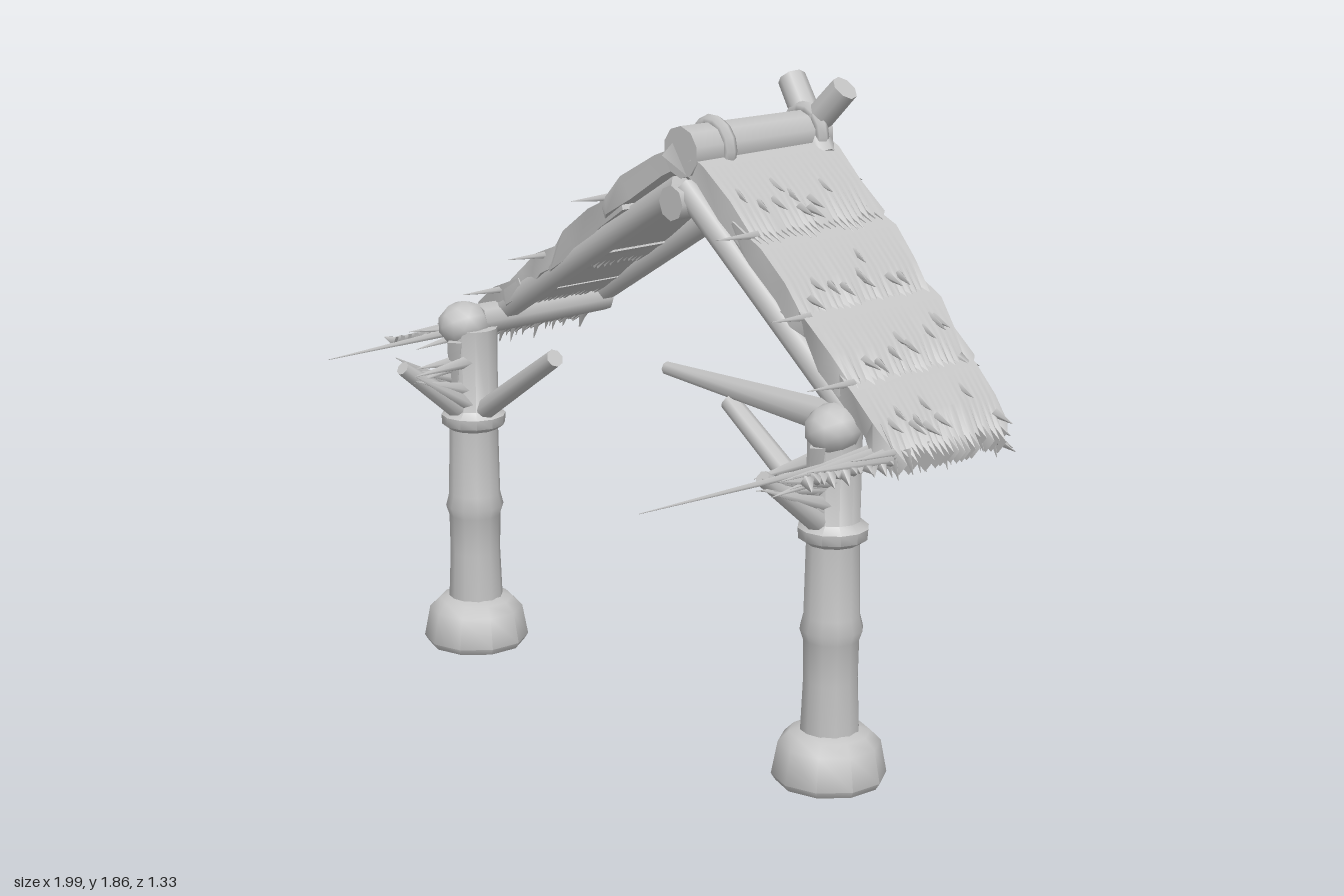
import * as THREE from 'three';
import { mergeGeometries, toCreasedNormals } from 'three/addons/utils/BufferGeometryUtils.js';

const wood = new THREE.MeshStandardMaterial({ color: 0xc4c4c4, side: THREE.DoubleSide });
wood.name = 'pale grey';

let seed = 7;
const rnd = (a = 0, b = 1) => {
  seed = (seed * 16807) % 2147483647;
  return a + (b - a) * seed / 2147483647;
};
const V = (p) => new THREE.Vector3(...p);

// Tapered pole between two points
function poleGeo(a, b, r0, r1, sides = 10) {
  const A = V(a), B = V(b), d = B.clone().sub(A);
  const g = new THREE.CylinderGeometry(r1, r0, d.length(), sides, 1);
  g.applyQuaternion(new THREE.Quaternion().setFromUnitVectors(V([0, 1, 0]), d.normalize()));
  g.translate(...A.add(B).multiplyScalar(0.5).toArray());
  return g;
}

function add(parent, name, geo) {
  const m = new THREE.Mesh(geo, wood);
  m.name = name;
  parent.add(m);
  return m;
}

// One thatch course: a bowed slab with a ragged lower edge and ragged gable edges
function courseGeo(x0, y0, x1, y1) {
  const n = 44, ts = [0, 0.35, 0.7, 1], loop = 8, pos = [], idx = [];
  const dir = new THREE.Vector2(x1 - x0, y1 - y0);
  const len = dir.length();
  dir.normalize();
  const nx = Math.abs(dir.y) * Math.sign(x1 - x0), ny = Math.abs(dir.x);
  for (let i = 0; i <= n; i++) {
    const jag = i % 2 ? rnd(0.015, 0.055) : rnd(-0.02, 0);
    for (let k = 0; k < loop; k++) {
      const top = k < 4, t = top ? ts[k] : ts[7 - k];
      const along = t * len + (t === 1 ? jag : 0);
      const bow = 0.025 * Math.sin(Math.PI * t) + (top ? 0 : -0.055 - 0.025 * t * (t < 1));
      const x = x0 + dir.x * along + nx * bow;
      const y = y0 + dir.y * along + ny * bow;
      const back = -0.635 + 0.06 * (x - 0.05) ** 2;
      const front = -0.13 - 0.02 * Math.abs(x);
      let z = front + (back - front) * i / n;
      if (i === 0 || i === n) z += rnd(-0.012, 0.022) * (i ? -1 : 1);
      pos.push(x, y, z);
    }
  }
  for (let i = 0; i < n; i++) for (let k = 0; k < loop; k++) {
    const a = i * loop + k, b = i * loop + (k + 1) % loop, c = a + loop, d = b + loop;
    idx.push(a, c, b, b, c, d);
  }
  for (let k = 0; k < 3; k++) {
    const q = [k, k + 1, 6 - k, 7 - k], e = n * loop;
    idx.push(q[0], q[1], q[2], q[0], q[2], q[3]);
    idx.push(e + q[0], e + q[2], e + q[1], e + q[0], e + q[3], e + q[2]);
  }
  if (x1 < x0) idx.reverse();
  const g = new THREE.BufferGeometry();
  g.setAttribute('position', new THREE.Float32BufferAttribute(pos, 3));
  g.setIndex(idx);
  idx.length && g.computeVertexNormals();
  return toCreasedNormals(g, 0.9);
}

// Post with a chunky foot, a tied collar and a slightly uneven shaft
function buildPost(root, name, x, z, side) {
  const post = new THREE.Group();
  post.name = name;
  root.add(post);
  const foot = new THREE.LatheGeometry([[0, 0], [0.15, 0], [0.163, 0.02], [0.145, 0.115], [0.115, 0.145], [0.08, 0.155]]
    .map(p => new THREE.Vector2(...p)), 10);
  foot.translate(x, 0, z);
  add(post, 'foot', toCreasedNormals(foot, 0.8));
  const shaft = new THREE.LatheGeometry([[0.085, 0.13], [0.078, 0.3], [0.08, 0.42], [0.09, 0.45], [0.08, 0.49], [0.076, 0.7],
    [0.098, 0.715], [0.1, 0.745], [0.076, 0.765], [0.078, 1.02], [0, 1.03]].map(p => new THREE.Vector2(...p)), 12);
  shaft.translate(x, 0, z);
  add(post, 'shaft', toCreasedNormals(shaft, 0.9));
  // Lashed joint at the head
  const knot = new THREE.IcosahedronGeometry(0.085, 1);
  knot.scale(0.9, 0.85, 1);
  knot.translate(x + 0.015 * side, 1.03, z + 0.02);
  add(post, 'headJoint', knot);
  add(post, 'sideBrace', poleGeo([x, 0.73, z], [x - side * 0.43, 1.01, z + 0.01], 0.035, 0.028, 8));
  add(post, 'frontBrace', poleGeo([x, 0.73, z], [x + 0.01, 0.935, z + 0.27], 0.042, 0.022, 8));
  // Loose splinters around the front brace
  const bits = [];
  for (let i = 0; i < 7; i++) {
    const dx = rnd(-0.07, 0.06);
    bits.push(poleGeo([x + dx * 0.8, rnd(0.78, 0.94), z + 0.04],
      [x + dx, rnd(0.88, 0.97), z + rnd(0.2, 0.34)], 0.022, 0.001, 4));
  }
  bits.push(poleGeo([x + 0.02, 0.99, z + 0.08], [x + 0.02, 0.79, z + 0.085], 0.03, 0.002, 4));
  add(post, 'splinters', mergeGeometries(bits));
  // Eave pole running back under the thatch
  add(post, 'eavePole', poleGeo([x, 1.04, z - 0.02], [x, 1.04, -0.57], 0.05, 0.045, 8));
}

export function createModel() {
  const root = new THREE.Group();
  root.name = 'thatchedShelter';

  buildPost(root, 'leftPost', 0.745, -0.145, 1);
  buildPost(root, 'rightPost', -0.8, -0.05, -1);
  add(root, 'tieBeam', poleGeo([0.75, 1.05, -0.145], [0.02, 1.042, -0.15], 0.05, 0.02, 8));

  // Ridge poles, wraps and crossed finials
  add(root, 'ridgePole', poleGeo([0.1, 1.69, -0.13], [0.1, 1.69, -0.65], 0.075, 0.07, 10));
  add(root, 'lowerRidgePole', poleGeo([0.07, 1.54, -0.12], [0.07, 1.54, -0.6], 0.052, 0.05, 8));
  for (const z of [-0.25, -0.6]) {
    const wrap = new THREE.TorusGeometry(0.074, 0.022, 6, 14);
    wrap.translate(0.1, 1.69, z);
    add(root, 'ridgeWrap', wrap);
  }
  for (const s of [-1, 1])
    add(root, 'crossedFinial', poleGeo([0.11 - s * 0.07, 1.63, -0.6], [0.11 + s * 0.115, 1.835, -0.64], 0.045, 0.042, 8));

  // Rafters under both gables
  for (const z of [-0.17, -0.55]) {
    add(root, 'rafter', poleGeo([0.08, 1.58, z], [0.77, 1.07, z], 0.04, 0.04, 6));
    add(root, 'rafter', poleGeo([0.06, 1.58, z], [-0.83, 1.04, z], 0.04, 0.04, 6));
  }

  // Thatch courses, eaves last
  const slopes = {
    leftThatch: [[0.07, 1.72, 0.4, 1.5], [0.33, 1.53, 0.62, 1.31], [0.55, 1.35, 0.8, 1.16], [0.73, 1.2, 0.96, 1.0]],
    rightThatch: [[0.12, 1.72, -0.26, 1.5], [-0.18, 1.53, -0.54, 1.28], [-0.46, 1.33, -0.77, 1.13], [-0.69, 1.18, -0.95, 1.0]],
  };
  for (const [name, rows] of Object.entries(slopes)) {
    const roof = new THREE.Group();
    roof.name = name;
    root.add(roof);
    const s = Math.sign(rows[3][2]), straw = [];
    rows.forEach(([x0, y0, x1, y1]) => {
      add(roof, 'thatchCourse', courseGeo(x0, y0, x1, y1));
      // Straw along the back gable edge
      for (let i = 0; i < 12; i++) {
        const t = rnd(), x = x0 + (x1 - x0) * t, y = y0 + (y1 - y0) * t - rnd(0, 0.07);
        const z = -0.6 + 0.06 * x * x;
        straw.push(poleGeo([x, y, z], [x + s * 0.05, y - 0.04, z - rnd(0.03, 0.07)], 0.018, 0.001, 4));
      }
      // Tufts lying on the course
      for (let i = 0; i < 9; i++) {
        const t = rnd(0.5, 0.9), x = x0 + (x1 - x0) * t, y = y0 + (y1 - y0) * t + 0.015, z = rnd(-0.58, -0.18);
        straw.push(poleGeo([x, y, z], [x + s * 0.06, y - 0.02, z + rnd(-0.01, 0.01)], 0.014, 0.001, 4));
      }
      // Stray straw poking forward
      straw.push(poleGeo([x1, y1, -0.16], [x1, y1 + 0.005, rnd(-0.03, 0.02)], 0.012, 0.001, 4));
    });
    // Hanging fringe at the eave
    for (let i = 0; i < 26; i++) {
      const x = s * rnd(0.84, 0.96), z = rnd(-0.58, -0.14);
      straw.push(poleGeo([x, 1.0, z], [x + s * 0.03, rnd(0.905, 0.95), z], 0.018, 0.001, 4));
    }
    // Broken remnant of the eave reaching forward
    for (let i = 0; i < 12; i++) {
      const z = -0.15 + i * 0.026;
      straw.push(poleGeo([s * 0.945, 0.975, z], [s * rnd(0.97, 0.995), rnd(0.95, 0.99), z + 0.02], 0.02, 0.001, 4));
    }
    for (let i = 0; i < 5; i++) {
      const x = s * rnd(0.86, 0.96);
      straw.push(poleGeo([x, 0.985, -0.15], [x, rnd(0.95, 1.0), rnd(0.05, 0.2)], 0.022, 0.001, 4));
    }
    straw.push(s > 0
      ? poleGeo([0.89, 0.98, -0.15], [0.88, 0.97, 0.65], 0.015, 0.001, 4)
      : poleGeo([-0.93, 0.98, -0.15], [-0.92, 0.965, 0.4], 0.015, 0.001, 4));
    add(roof, 'looseStraw', mergeGeometries(straw));
  }
  return root;
}
